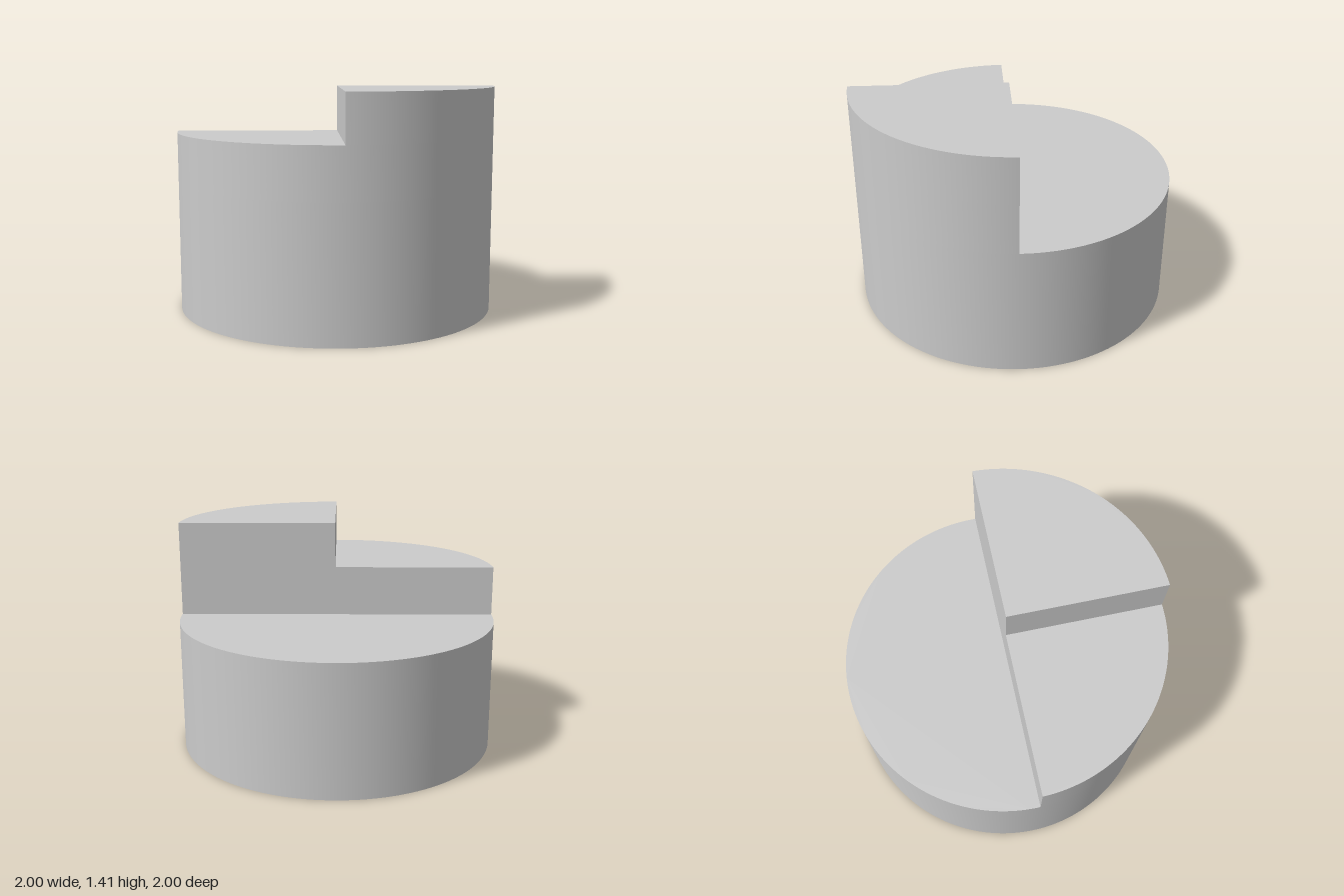
import * as THREE from 'three';
import { toCreasedNormals } from 'three/addons/utils/BufferGeometryUtils.js';

const RADIUS = 1;
const STEP_Z = 0.02; // wall between the low rear step and the front half
const STEP_X = 0.01; // wall between the middle and the top step

export function createModel() {
  const group = new THREE.Group();
  const material = new THREE.MeshStandardMaterial({ color: 0xcccccc });

  // A slab with an arc-shaped outline (plan y = -z), optionally closed by a corner.
  function addSlab(name, bottom, top, from, to, corner) {
    const shape = new THREE.Shape();
    shape.absarc(0, 0, RADIUS, from, to, false);
    if (corner) shape.lineTo(corner[0], corner[1]);
    shape.closePath();
    const extruded = new THREE.ExtrudeGeometry(shape, {
      depth: top - bottom, bevelEnabled: false, curveSegments: 128,
    });
    extruded.rotateX(-Math.PI / 2);
    const mesh = new THREE.Mesh(toCreasedNormals(extruded, 0.5), material);
    mesh.name = name;
    mesh.position.y = bottom;
    group.add(mesh);
  }

  const tilt = Math.asin(STEP_Z / RADIUS);

  // Full disc, front half, then the front left quarter
  addSlab('baseDisc', 0, 0.815, 0, Math.PI * 2);
  addSlab('middleStep', 0.815, 1.126, Math.PI + tilt, Math.PI * 2 - tilt);
  addSlab('topStep', 1.126, 1.41, -Math.acos(STEP_X / RADIUS), -tilt, [STEP_X, -STEP_Z]);

  return group;
}
